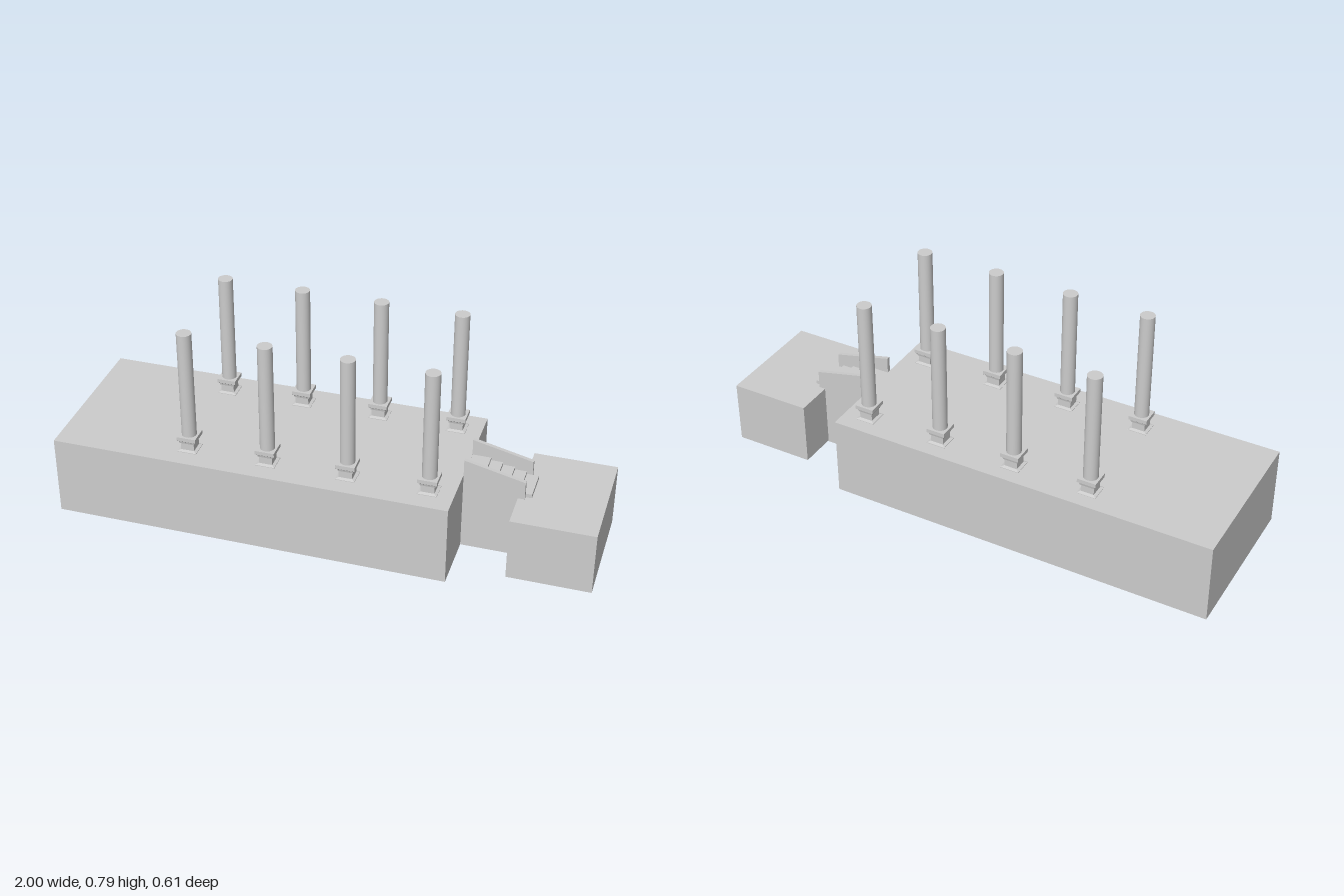
import * as THREE from 'three';

export function createModel() {
  const model = new THREE.Group();
  model.name = 'columnTerrace';
  const stone = new THREE.MeshStandardMaterial({ color: 0xcccccc });
  stone.name = 'grey stone';

  const add = (name, geometry, parent = model) => {
    const mesh = new THREE.Mesh(geometry, stone);
    mesh.name = name;
    parent.add(mesh);
    return mesh;
  };
  // Box given by its minimum and maximum on each axis
  const block = (name, x0, x1, y0, y1, z0, z1, parent) =>
    add(name, new THREE.BoxGeometry(x1 - x0, y1 - y0, z1 - z0), parent)
      .position.set((x0 + x1) / 2, (y0 + y1) / 2, (z0 + z1) / 2);

  // Terrace and lower landing
  block('terrace', -1, 0.49, 0, 0.31, -0.307, 0.307);
  block('landing', 0.69, 1, 0.005, 0.25, -0.221, 0.221);

  // Square pedestal: half width and height pairs, swept round four sides
  const profile = [
    [0, 0], [0.036, 0], [0.036, 0.002], [0.025, 0.006], [0.025, 0.034], [0.028, 0.034],
    [0.030, 0.042], [0.036, 0.047], [0.036, 0.062], [0, 0.062],
  ].map(([w, y]) => new THREE.Vector2(w * Math.SQRT2, y));
  const pedestalGeometry = new THREE.LatheGeometry(profile, 4, Math.PI / 4).toNonIndexed();
  pedestalGeometry.computeVertexNormals();
  const shaftGeometry = new THREE.CylinderGeometry(0.0275, 0.0275, 0.425, 24);

  // Two rows of four columns
  for (const z of [0.203, -0.216]) {
    for (const x of [-0.504, -0.204, 0.096, 0.396]) {
      const column = new THREE.Group();
      column.name = 'column';
      column.position.set(x, 0.31, z);
      add('pedestal', pedestalGeometry, column);
      add('shaft', shaftGeometry, column).position.y = 0.2705;
      model.add(column);
    }
  }

  // Stair side walls with sloping tops
  const wallShape = new THREE.Shape([
    [0.49, 0], [0.715, 0], [0.715, 0.32], [0.49, 0.372],
  ].map(([x, y]) => new THREE.Vector2(x, y)));
  const wallGeometry = new THREE.ExtrudeGeometry(wallShape, { depth: 0.015, bevelEnabled: false });
  for (const z of [0.062, -0.075]) add('stairWall', wallGeometry).position.z = z;

  // Treads, descending from the terrace to the landing
  const stairs = new THREE.Group();
  stairs.name = 'stairs';
  model.add(stairs);
  for (let i = 0; i < 5; i++) {
    const front = 0.56 + i * 0.0445;
    const top = 0.309 - i * 0.011;
    block('tread', front - 0.07, front, top - 0.02, top, -0.06, 0.062, stairs);
  }
  return model;
}
